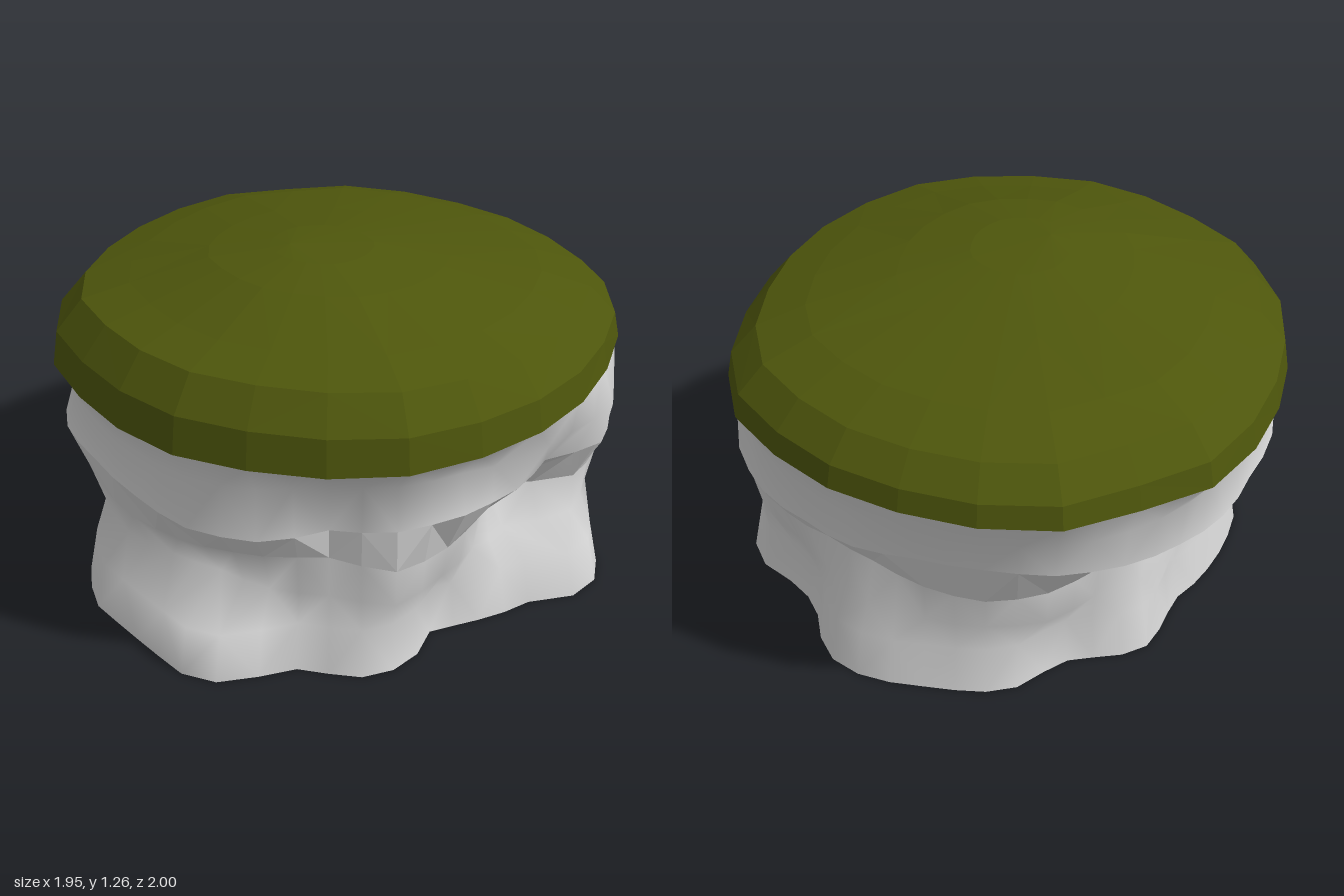
import * as THREE from 'three';

// Radii at even angles, from +z turning towards +x
const OUTLINE = [.99, .98, .99, 1, .98, .97, .965, .97, 1, 1.02, 1, 1, 1, 1.02, 1.04, 1.01, 1.03, 1, .98, .98, 1, 1.01, .98, .98];
const CHEST = [.93, .9, .83, .87, .86, .9, .93, 1, .98, .95, .93, .92, .92, .93, .95, .94, .92, .88, .87, .9, .94, .94, .92, .91];
const BULGE = [.94, .9, .8, .87, .89, .88, .84, .97, .99, .95, .9, .9, .88, .9, .93, .92, .9, .9, .9, .95, .98, .98, .94, .93];
const NECK = [.84, .83, .79, .87, .79, .71, .63, .88, .95, .87, .81, .8, .82, .83, .8, .74, .71, .67, .69, .82, .9, .91, .88, .85];
const WAIST = [.75, .78, .79, .87, .76, .69, .69, .88, .92, .83, .82, .84, .82, .81, .79, .71, .72, .71, .69, .75, .83, .86, .84, .78];
const FOOT = [
  1, .98, .83, .85, .88, .82, .69, .71, .76, .81, .98, .99, .94, .83, .81, .88, .93, .9,
  .86, .84, .83, .74, .69, .75, .77, .73, .69, .73, .77, .82, .88, .92, .95, .97, .95, .96,
];

// Closed ring of n points; height is a number or a rule of (x, z, angle)
function ring(n, radii, height, scale = 1, dz = 0) {
  return Array.from({ length: n }, (_, i) => {
    const a = (i / n) * Math.PI * 2;
    const t = (i / n) * radii.length, k = Math.floor(t);
    const r = scale * THREE.MathUtils.lerp(radii[k], radii[(k + 1) % radii.length], t - k);
    const x = Math.sin(a) * r, z = Math.cos(a) * r + dz;
    return [x, typeof height === 'function' ? height(x, z, a) : height, z];
  });
}

// Skin over rings listed from bottom to top, optionally closed by an apex
function loft(rings, { apex = null, flat = false, skip = [] } = {}) {
  const n = rings[0].length;
  const positions = rings.flat(2);
  const index = [];
  for (let j = 0; j < rings.length - 1; j++) {
    for (let i = 0; i < n; i++) {
      if (skip.includes(i)) continue;
      const a = j * n + i, b = j * n + ((i + 1) % n);
      if ((i + j) % 2) index.push(a, b, a + n, b, b + n, a + n);
      else index.push(a, b, b + n, a, b + n, a + n);
    }
  }
  if (apex) {
    const top = rings.length * n, start = top - n;
    positions.push(...apex);
    for (let i = 0; i < n; i++) index.push(start + i, start + ((i + 1) % n), top);
  }
  let g = new THREE.BufferGeometry();
  g.setAttribute('position', new THREE.Float32BufferAttribute(positions, 3));
  g.setIndex(index);
  if (flat) g = g.toNonIndexed();
  g.computeVertexNormals();
  return g;
}

export function createModel() {
  const model = new THREE.Group();
  model.name = 'mossyRock';
  const moss = new THREE.MeshStandardMaterial({ name: 'olive moss', color: 0x4e560c, side: THREE.DoubleSide });
  const stone = new THREE.MeshStandardMaterial({ name: 'pale stone', color: 0xd8d8d8, side: THREE.DoubleSide });
  const add = (name, geometry, material) => {
    const mesh = new THREE.Mesh(geometry, material);
    mesh.name = name;
    model.add(mesh);
  };

  // Domed cap, its crown shifted a little to the front
  const CAP = 24, WALL = 48;
  const rimHeight = (x, z) => 0.868 - 0.012 * z;
  add('mossCap', loft([
    ring(CAP, OUTLINE, rimHeight),
    ring(CAP, OUTLINE, (x, z) => 0.975 + 0.015 * z, 0.982),
    ring(CAP, OUTLINE, (x, z) => 1.08 + 0.03 * z, 0.89),
    ring(CAP, OUTLINE, (x, z) => 1.135 + 0.02 * z, 0.72, 0.01),
    ring(CAP, OUTLINE, (x, z) => 1.205 + 0.06 * z, 0.42, 0.05),
    ring(CAP, OUTLINE, (x, z) => 1.245 + 0.05 * z, 0.18, 0.1),
  ], { apex: [-0.08, 1.265, 0.18], flat: true }), moss);

  // Smooth upper wall, faceted overhang with a gap, smooth lobed foot
  const rim = ring(WALL, OUTLINE, rimHeight, 0.988);
  const bulge = ring(WALL, BULGE, (x, z, a) => 0.575 + 0.035 * Math.cos(3 * (a - 1.36)));
  const neck = ring(WALL, NECK, (x, z, a) => 0.425 + 0.015 * Math.sin(5 * a));
  add('upperWall', loft([bulge, ring(WALL, CHEST, 0.74), rim]), stone);
  add('overhang', loft([neck, bulge], { flat: true, skip: [13] }), stone);
  add('lobedFoot', loft([
    ring(WALL, FOOT, 0), ring(WALL, FOOT, 0.17, 0.965), ring(WALL, WAIST, 0.28), neck,
  ]), stone);

  return model;
}
